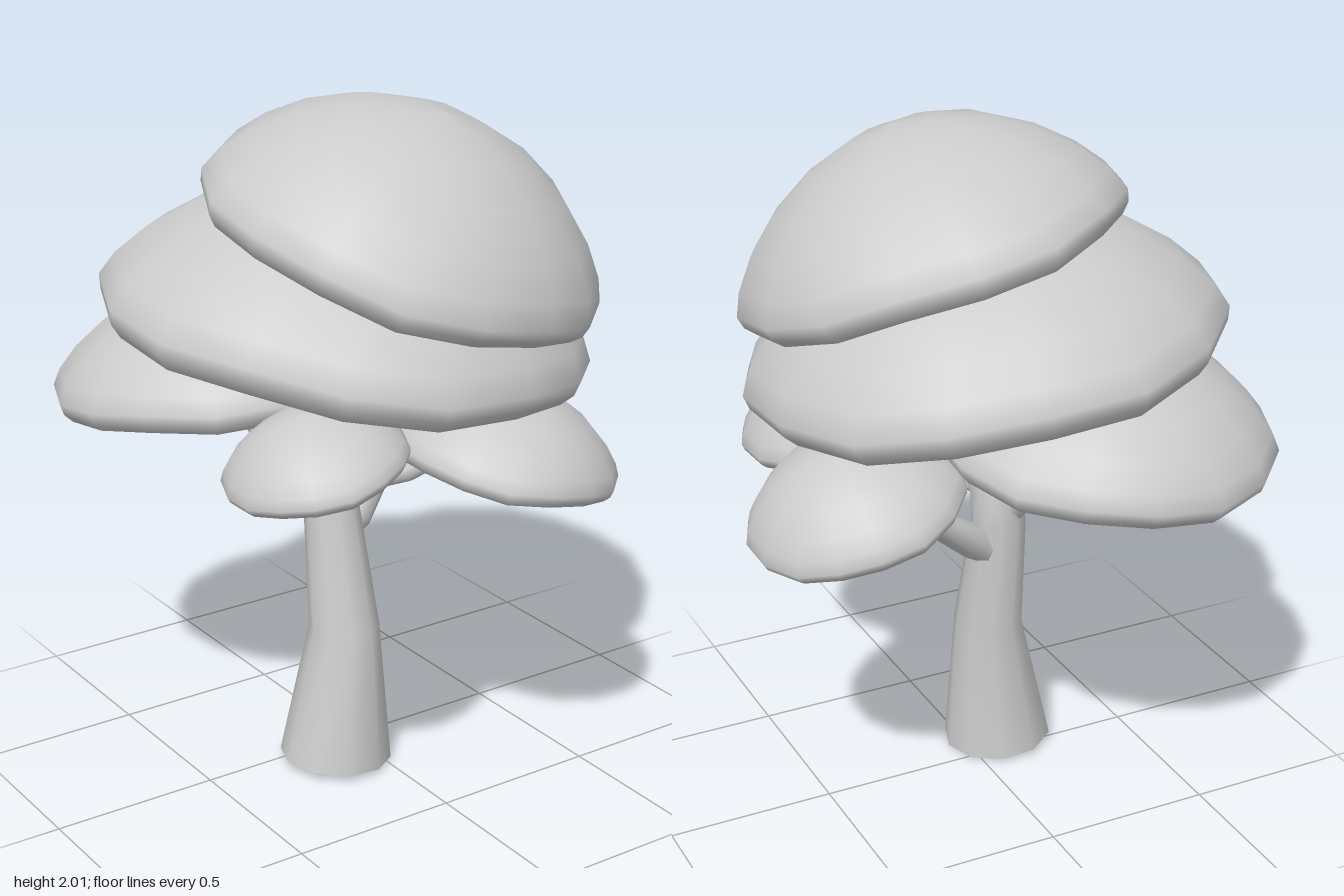
import * as THREE from 'three';

const foliageMaterial = new THREE.MeshStandardMaterial({ color: 0xcccccc });
const barkMaterial = new THREE.MeshStandardMaterial({ color: 0xcccccc, side: THREE.DoubleSide });
const UP = new THREE.Vector3(0, 1, 0);

// Tapered open limb: rings of radius r swept through [x, y, z, r] stations
function limb(name, stations, sides) {
  const pts = stations.map(([x, y, z]) => new THREE.Vector3(x, y, z));
  const pos = [], idx = [], last = pts.length - 1;
  const v = new THREE.Vector3(), t = new THREE.Vector3();
  const u = new THREE.Vector3(0.3, 0, 1).normalize();
  pts.forEach((p, i) => {
    t.subVectors(pts[Math.min(i + 1, last)], pts[Math.max(i - 1, 0)]).normalize();
    // keep the ring's first axis perpendicular as the limb bends
    u.addScaledVector(t, -u.dot(t)).normalize();
    v.crossVectors(t, u);
    for (let j = 0; j < sides; j++) {
      const a = (j / sides) * Math.PI * 2, r = stations[i][3];
      const q = p.clone().addScaledVector(u, r * Math.cos(a)).addScaledVector(v, r * Math.sin(a));
      pos.push(q.x, q.y, q.z);
    }
  });
  for (let i = 0; i < last; i++) {
    for (let j = 0; j < sides; j++) {
      const a = i * sides + j, b = i * sides + ((j + 1) % sides);
      idx.push(a, b, b + sides, a, b + sides, a + sides);
    }
  }
  const geo = new THREE.BufferGeometry();
  geo.setAttribute('position', new THREE.Float32BufferAttribute(pos, 3));
  geo.setIndex(idx);
  geo.computeVertexNormals();
  const mesh = new THREE.Mesh(geo, barkMaterial);
  mesh.name = name;
  return mesh;
}

// Leaf cushion: shallow dome with a rolled lip and a slightly hollow underside,
// tilted so its rim climbs by slope [x, z]
function canopy({ name, at, radius, height, slope, phase }) {
  const profile = [[0, -0.055], [0.55, -0.07], [0.88, -0.115], [0.94, -0.11], [0.985, -0.06]]
    .map(([r, y]) => new THREE.Vector2(r * radius, y * radius));
  for (const r of [1, 0.95, 0.84, 0.67, 0.45, 0.22, 0]) {
    profile.push(new THREE.Vector2(r * radius, height * (1 - r * r) ** 0.75));
  }
  const geo = new THREE.LatheGeometry(profile, 16, Math.PI / 16);
  // gently uneven outline
  const p = geo.attributes.position;
  for (let i = 0; i < p.count; i++) {
    const x = p.getX(i), z = p.getZ(i), a = Math.atan2(z, x);
    const k = 1 + 0.008 * Math.sin(3 * a + phase);
    const lift = 0.018 * Math.hypot(x, z) * Math.sin(5 * a + phase);
    p.setXYZ(i, x * k, p.getY(i) + lift, z * k);
  }
  const mesh = new THREE.Mesh(geo, foliageMaterial);
  mesh.name = name;
  mesh.position.set(...at);
  mesh.quaternion.setFromUnitVectors(UP, new THREE.Vector3(-slope[0], 1, -slope[1]).normalize());
  return mesh;
}

export function createModel() {
  const tree = new THREE.Group();
  tree.name = 'tree';

  // Trunk running up into the main leader
  tree.add(limb('trunk', [
    [-0.11, 0.013, 0.085, 0.167], [-0.075, 0.43, 0.08, 0.105], [-0.083, 0.8, 0.025, 0.082],
    [-0.06, 0.9, 0.035, 0.066], [-0.03, 1.0, 0.07, 0.052], [0.005, 1.2, 0.105, 0.038], [0.01, 1.4, 0.11, 0.03],
  ], 10));

  // Branches, one to each low cushion
  const branches = {
    leftBranch: [[-0.06, 0.69, 0.02, 0.045], [0.01, 0.74, 0.01, 0.053], [0.17, 0.865, -0.06, 0.039], [0.4, 0.94, -0.13, 0.022], [0.48, 1.04, -0.16, 0.015]],
    frontLeftBranch: [[-0.06, 0.88, 0.04, 0.03], [-0.03, 0.9, 0.12, 0.04], [0.05, 0.94, 0.23, 0.03], [0.15, 1.05, 0.38, 0.018]],
    frontRightBranch: [[-0.08, 0.84, 0.04, 0.04], [-0.11, 0.92, 0.1, 0.042], [-0.18, 1.0, 0.17, 0.032], [-0.33, 1.02, 0.3, 0.022], [-0.4, 1.13, 0.38, 0.014]],
    frontRightTwig: [[-0.2, 1.0, 0.18, 0.02], [-0.25, 1.05, 0.23, 0.02], [-0.3, 1.17, 0.33, 0.013]],
    backBranch: [[-0.1, 0.8, 0.02, 0.05], [-0.14, 0.91, -0.05, 0.042], [-0.2, 1.0, -0.19, 0.032], [-0.27, 1.17, -0.25, 0.022]],
  };
  for (const [name, stations] of Object.entries(branches)) tree.add(limb(name, stations, 8));

  // Foliage cushions
  const cushions = [
    { name: 'topFoliage', at: [0.06, 1.622, 0.17], radius: 0.59, height: 0.373, slope: [-0.25, -0.25], phase: 0.5 },
    { name: 'middleFoliage', at: [-0.045, 1.37, 0.05], radius: 0.71, height: 0.4, slope: [-0.15, -0.08], phase: 1.5 },
    { name: 'backFoliage', at: [-0.267, 1.17, -0.262], radius: 0.505, height: 0.275, slope: [0.05, 0.12], phase: 1 },
    { name: 'frontRightFoliage', at: [-0.4, 1.122, 0.43], radius: 0.258, height: 0.155, slope: [0.23, 0.02], phase: 2 },
    { name: 'frontLeftFoliage', at: [0.22, 1.028, 0.443], radius: 0.335, height: 0.2, slope: [-0.2, -0.1], phase: 0 },
    { name: 'leftFoliage', at: [0.46, 1.04, -0.172], radius: 0.32, height: 0.195, slope: [-0.31, 0.04], phase: 1.2 },
  ];
  for (const c of cushions) tree.add(canopy(c));
  return tree;
}
